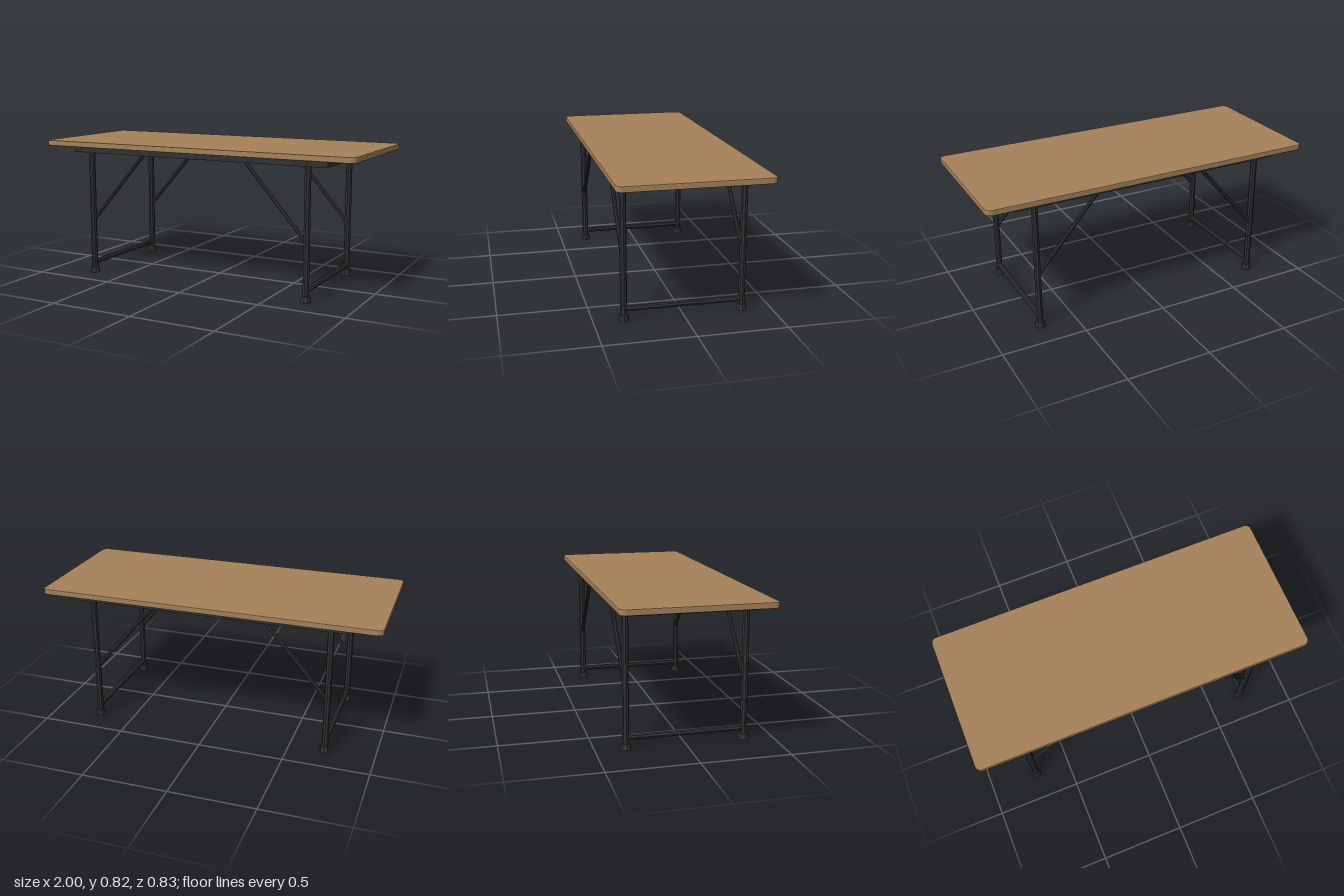
import * as THREE from 'three';

const wood = new THREE.MeshStandardMaterial({ color: 0xa5825a });
wood.name = 'wood';
const steel = new THREE.MeshStandardMaterial({ color: 0x303133, flatShading: true });
steel.name = 'dark steel';
const rubber = new THREE.MeshStandardMaterial({ color: 0x343434, flatShading: true });
rubber.name = 'rubber';

const LEG_X = 0.711, LEG_Z = 0.333, TOP_Y = 0.79;

export function createModel() {
  const group = new THREE.Group();
  group.name = 'foldingTable';

  const add = (name, geometry, material, x = 0, y = 0, z = 0) => {
    const mesh = new THREE.Mesh(geometry, material);
    mesh.name = name;
    mesh.position.set(x, y, z);
    group.add(mesh);
    return mesh;
  };

  // Round tube between two points
  const tube = (name, a, b, radius) => {
    const from = new THREE.Vector3(...a), to = new THREE.Vector3(...b);
    const dir = to.clone().sub(from);
    const mesh = add(name, new THREE.CylinderGeometry(radius, radius, dir.length(), 8), steel);
    mesh.position.copy(from).add(to).multiplyScalar(0.5);
    mesh.quaternion.setFromUnitVectors(new THREE.Vector3(0, 1, 0), dir.normalize());
  };

  // Tabletop: rounded rectangle with a small edge bevel
  const bevel = 0.005, w = 1 - bevel, d = 0.415 - bevel, r = 0.03;
  const outline = new THREE.Shape();
  outline.moveTo(-w + r, -d);
  outline.absarc(w - r, -d + r, r, -Math.PI / 2, 0);
  outline.absarc(w - r, d - r, r, 0, Math.PI / 2);
  outline.absarc(-w + r, d - r, r, Math.PI / 2, Math.PI);
  outline.absarc(-w + r, -d + r, r, Math.PI, Math.PI * 1.5);
  const board = new THREE.ExtrudeGeometry(outline, {
    depth: 0.033 - 2 * bevel, bevelEnabled: true, bevelSize: bevel,
    bevelThickness: bevel, bevelSegments: 2, curveSegments: 6,
  });
  board.rotateX(-Math.PI / 2);
  add('tabletop', board, wood, 0, TOP_Y + bevel, 0);

  // Under-frame rails along the long sides
  for (const s of [-1, 1]) {
    add('sideRail', new THREE.BoxGeometry(1.656, 0.038, 0.036), steel, 0, TOP_Y - 0.019, s * LEG_Z);
  }

  for (const sx of [-1, 1]) {
    const x = sx * LEG_X;
    // End rail, hinge bar and lower crossbar
    add('endRail', new THREE.BoxGeometry(0.036, 0.038, 0.634), steel, sx * 0.81, TOP_Y - 0.019, 0);
    tube('hingeBar', [x, 0.762, -LEG_Z], [x, 0.762, LEG_Z], 0.016);
    tube('crossbar', [x, 0.065, -LEG_Z], [x, 0.065, LEG_Z], 0.016);

    for (const sz of [-1, 1]) {
      const z = sz * LEG_Z;
      tube('leg', [x, 0.02, z], [x, TOP_Y, z], 0.019);
      tube('brace', [x, 0.33, z], [sx * 0.325, 0.77, z], 0.012);
      add('foot', new THREE.CylinderGeometry(0.026, 0.031, 0.035, 8), rubber, x, 0.0175, z);
    }
  }
  return group;
}
